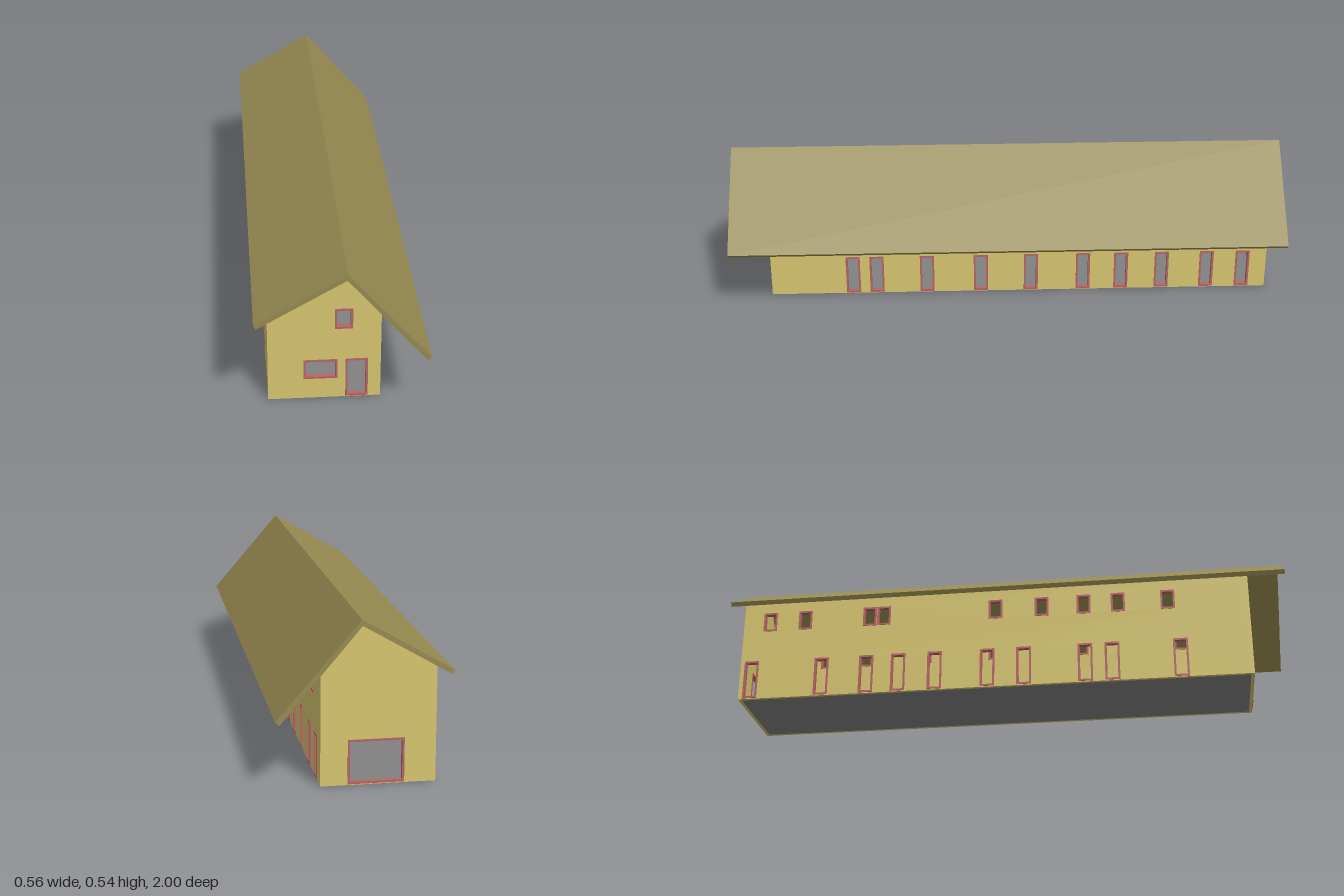
import * as THREE from 'three';

const T = 0.012; // wall thickness
const FRONT = 0.872, BACK = -0.957, LEFT = 0.132, RIGHT = -0.233;

const mat = (color, side = THREE.FrontSide) => new THREE.MeshStandardMaterial({ color, side });
const wallMat = mat(0xd8c670);
const roofMat = mat(0x968a50);
const frameMat = mat(0xb86464);
const floorMat = mat(0x808080);

const polygon = (pts) => new THREE.Shape(pts.map(([x, y]) => new THREE.Vector2(x, y)));
const rect = (x0, x1, y0, y1) => [[x0, y0], [x1, y0], [x1, y1], [x0, y1]];
const extrude = (shape, depth) => new THREE.ExtrudeGeometry(shape, { depth, bevelEnabled: false });

// A wall with rectangular openings [x0, x1, y0, y1], each lined by a thin frame
function makeWall(name, outline, openings) {
  const group = new THREE.Group();
  group.name = name;
  const shape = polygon(outline);
  const proud = 0.002, w = 0.007;
  for (const [x0, x1, y0, y1] of openings) {
    const inner = rect(x0 + w, x1 - w, y0 + w, y1 - w);
    shape.holes.push(polygon(rect(x0, x1, y0, y1)));
    const ring = polygon(rect(x0, x1, y0, y1));
    ring.holes.push(polygon(inner));
    const frame = new THREE.Mesh(extrude(ring, T + 2 * proud), frameMat);
    frame.name = y0 < 0.01 ? 'doorFrame' : 'windowFrame';
    frame.position.z = -proud;
    group.add(frame);
  }
  const wall = new THREE.Mesh(extrude(shape, T), wallMat);
  wall.name = name + 'Panel';
  group.add(wall);
  return group;
}

// Long wall: a row of doors below and a row of small windows above, given by z centres
function makeSideWall(name, top, doors, windows) {
  const openings = [
    ...doors.map((z) => [z - 0.026, z + 0.026, 0.003, 0.146]),
    ...windows.map((z) => [z - 0.025, z + 0.025, 0.264, 0.337]),
  ];
  const wall = makeWall(name, rect(BACK + T, FRONT - T, 0, top), openings);
  wall.rotation.y = -Math.PI / 2;
  return wall;
}

export function createModel() {
  const model = new THREE.Group();
  model.name = 'house';

  // Gable walls
  const gable = [[RIGHT, 0], [LEFT, 0], [LEFT, 0.374], [0.01, 0.518], [RIGHT, 0.378]];
  const front = makeWall('frontWall', gable, [
    [-0.118, -0.008, 0.075, 0.147],
    [0.018, 0.091, 0.003, 0.147],
    [-0.017, 0.041, 0.263, 0.337],
  ]);
  front.position.z = FRONT - T;
  const back = makeWall('backWall', gable, [[-0.133, 0.046, 0.003, 0.147]]);
  back.position.z = BACK;

  // Side walls
  const left = makeSideWall('leftWall', 0.385,
    [0.572, 0.485, 0.3, 0.102, -0.083, -0.276, -0.417, -0.568, -0.735, -0.869],
    [0.63, 0.452, 0.255, 0.134, -0.078, -0.24, -0.35, -0.582, -0.735, -0.807]);
  left.position.x = LEFT;
  const right = makeSideWall('rightWall', 0.384,
    [0.625, 0.386, 0.291, 0.074, -0.056, -0.245, -0.377, -0.493, -0.657, -0.916],
    [0.588, 0.412, 0.29, 0.14, -0.027, -0.435, -0.487, -0.727, -0.858]);
  right.position.x = RIGHT + T;
  model.add(front, back, left, right);

  // Floor slab inside the walls
  const floor = new THREE.Mesh(
    new THREE.BoxGeometry(LEFT - RIGHT - 2 * T, 0.003, FRONT - BACK - 2 * T), floorMat);
  floor.name = 'floor';
  floor.position.set((LEFT + RIGHT) / 2, 0.0015, (FRONT + BACK) / 2);
  model.add(floor);

  // Asymmetric gable roof, overhanging on all sides
  const roof = new THREE.Mesh(extrude(polygon([
    [-0.278, 0.369], [-0.27, 0.355], [0.01, 0.517],
    [0.264, 0.216], [0.277, 0.228], [0.012, 0.536],
  ]), 2), roofMat);
  roof.name = 'roof';
  roof.position.z = -1;
  model.add(roof);

  return model;
}
